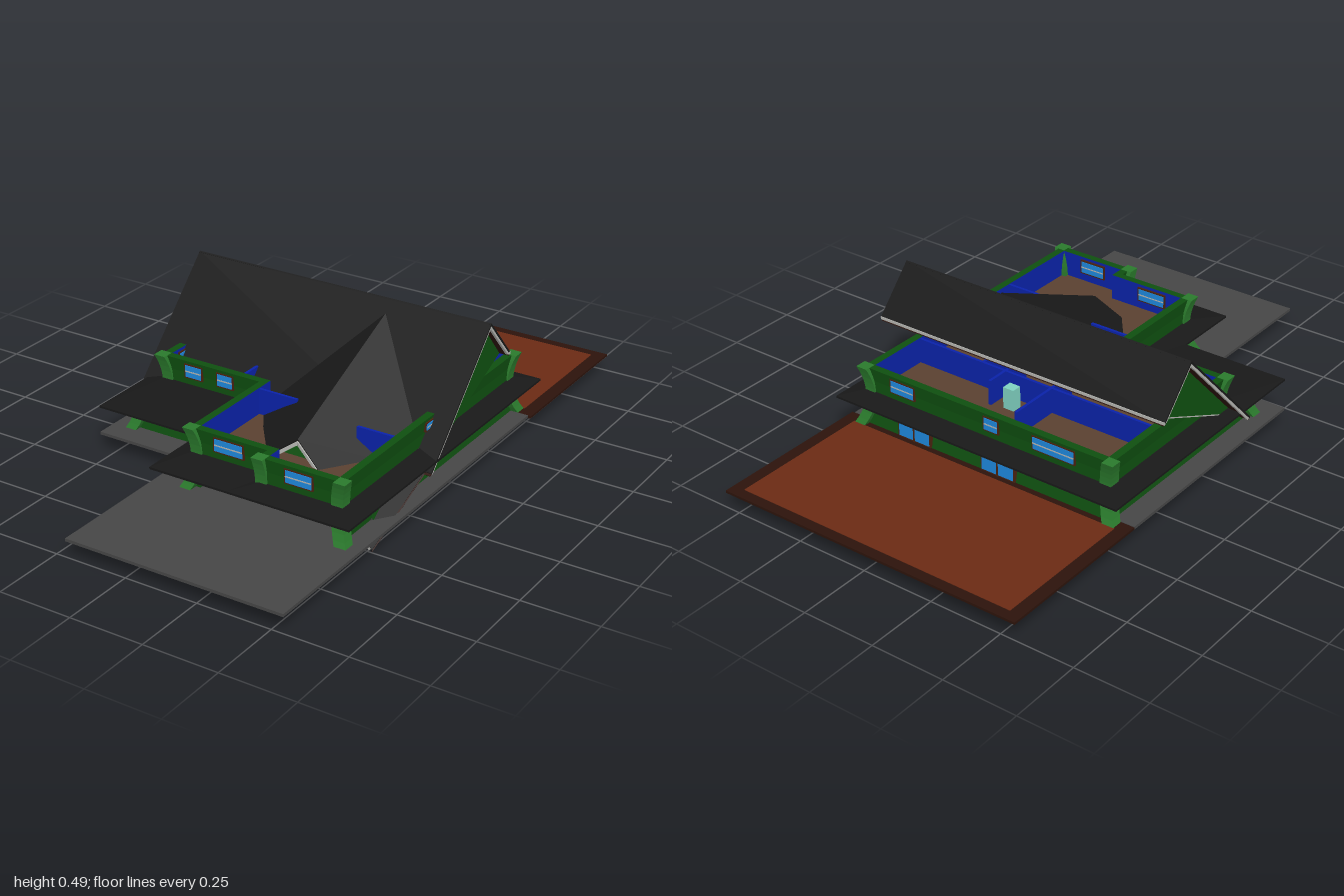
import * as THREE from 'three';

const COLORS = {
  green: 0x0f4f10, post: 0x2a7a2c, roof: 0x181818, blue: 0x0a22a8, floor: 0x5a4030, paving: 0x464646,
  brick: 0x6b2a14, darkBrick: 0x2c130b, frame: 0x4a2210, glass: 0x1e88dd, pale: 0xb4b4b0, teal: 0x7fd0c0, black: 0x15100c,
};
const mats = {};
for (const k in COLORS) {
  mats[k] = new THREE.MeshStandardMaterial({ color: COLORS[k], side: THREE.DoubleSide, flatShading: true });
}

function add(parent, name, geo, mat) {
  const m = new THREE.Mesh(geo, mats[mat]);
  m.name = name;
  parent.add(m);
  return m;
}

function box(parent, name, mat, x0, x1, y0, y1, z0, z1) {
  const m = add(parent, name, new THREE.BoxGeometry(x1 - x0, y1 - y0, z1 - z0), mat);
  m.position.set((x0 + x1) / 2, (y0 + y1) / 2, (z0 + z1) / 2);
  return m;
}

function soup(pos) {
  const g = new THREE.BufferGeometry();
  g.setAttribute('position', new THREE.Float32BufferAttribute(pos, 3));
  g.computeVertexNormals();
  return g;
}

// Joins closed rings of equal point count into a skin
function loft(rings) {
  const pos = [];
  for (let k = 0; k + 1 < rings.length; k++) {
    const a = rings[k], b = rings[k + 1], n = a.length;
    for (let i = 0; i < n; i++) {
      const j = (i + 1) % n;
      pos.push(...a[i], ...a[j], ...b[j], ...a[i], ...b[j], ...b[i]);
    }
  }
  return soup(pos);
}

// Flat convex panel given a thickness below its surface
function panel(pts, t) {
  const v = pts.map((p) => new THREE.Vector3(...p));
  const n = v[1].clone().sub(v[0]).cross(v[2].clone().sub(v[0])).normalize();
  const low = v.map((p) => p.clone().addScaledVector(n, -t).toArray());
  const pos = [];
  for (let i = 1; i + 1 < pts.length; i++) {
    pos.push(...pts[0], ...pts[i], ...pts[i + 1], ...low[0], ...low[i + 1], ...low[i]);
  }
  pts.forEach((p, i) => {
    const j = (i + 1) % pts.length;
    pos.push(...low[i], ...low[j], ...pts[j], ...low[i], ...pts[j], ...p);
  });
  return soup(pos);
}

// Square bar between two points
function bar(parent, name, mat, a, b, w) {
  const p = new THREE.Vector3(...a), q = new THREE.Vector3(...b);
  const m = add(parent, name, new THREE.BoxGeometry(w, w, p.distanceTo(q)), mat);
  m.position.copy(p).add(q).multiplyScalar(0.5);
  m.lookAt(q);
}

const L = -0.47, R = 0.47, B = -0.44, XS = -0.09, XM = 0.19;

// Stepped house plan grown by d, at height y
const plan = (d, y, zl = 0.17, zm = 0.54, zr = 0.59) => [
  [L - d, y, B - d], [L - d, y, zl + d], [XS - d, y, zl + d], [XS - d, y, zm + d],
  [XM - d, y, zm + d], [XM - d, y, zr + d], [R + d, y, zr + d], [R + d, y, B - d],
];

function plate(points, y, t) {
  const g = new THREE.ExtrudeGeometry(new THREE.Shape(points.map(([x, z]) => new THREE.Vector2(x, -z))),
    { depth: t, bevelEnabled: false });
  return g.rotateX(-Math.PI / 2).translate(0, y, 0);
}

// Corner post curving outwards at its top or its foot
function post(parent, x, z, sx, sz, y0, y1, flare, atTop) {
  const g = new THREE.BoxGeometry(0.04, y1 - y0, 0.04, 1, 5, 1);
  const p = g.attributes.position;
  for (let i = 0; i < p.count; i++) {
    const u = p.getY(i) / (y1 - y0) + 0.5, t = atTop ? u : 1 - u;
    p.setX(i, p.getX(i) + sx * flare * t * t);
    p.setZ(i, p.getZ(i) + sz * flare * t * t);
  }
  g.computeVertexNormals();
  add(parent, 'cornerPost', g, 'post').position.set(x - sx * 0.016, (y0 + y1) / 2, z - sz * 0.016);
}

function windowUnit(parent, name, x, y, z, w, h, turn = 0, split = 'h') {
  const g = new THREE.Group();
  g.name = name;
  box(g, 'frame', 'frame', -w / 2, w / 2, -h / 2, h / 2, -0.016, 0.016);
  box(g, 'glass', 'glass', -w / 2 + 0.005, w / 2 - 0.005, -h / 2 + 0.005, h / 2 - 0.005, -0.018, 0.018);
  if (split === 'h') box(g, 'glazingBar', 'pale', -w / 2 + 0.005, w / 2 - 0.005, -0.002, 0.002, -0.019, 0.019);
  else box(g, 'glazingBar', 'frame', -0.003, 0.003, -h / 2, h / 2, -0.019, 0.019);
  g.position.set(x, y, z);
  g.rotation.y = turn;
  parent.add(g);
}

export function createModel() {
  const house = new THREE.Group();
  house.name = 'house';
  const section = (name) => {
    const g = new THREE.Group();
    g.name = name;
    house.add(g);
    return g;
  };

  // Paving and brick terrace
  const ground = section('ground');
  add(ground, 'paving', plate([[-0.55, -0.43], [-0.55, 0.41], [-0.215, 0.41], [-0.215, 1], [0.54, 1], [0.54, -0.43]], 0.055, 0.01), 'paving');
  box(ground, 'terraceBorder', 'darkBrick', -0.55, 0.55, 0.055, 0.063, -1, -0.43);
  box(ground, 'terraceBricks', 'brick', -0.507, 0.507, 0.06, 0.0645, -0.965, -0.47);
  box(ground, 'groundFloor', 'floor', -0.46, 0.46, 0.053, 0.067, -0.43, 0.2);
  box(ground, 'darkFloor', 'black', -0.45, 0.12, 0.052, 0.06, -0.43, -0.1);
  box(ground, 'bathroomFloor', 'teal', -0.47, -0.28, 0.052, 0.068, 0.14, 0.3);

  // Lower storey with recessed garage door
  const lower = section('lowerStorey');
  add(lower, 'walls', loft([plan(0.008, 0.06, 0.31, 0.42, 0.42), plan(0, 0.1, 0.31, 0.42, 0.42), plan(0, 0.165, 0.31, 0.42, 0.42)]), 'green');
  box(lower, 'garageSideWall', 'green', R - 0.025, R, 0.06, 0.165, 0.4, 0.59);
  box(lower, 'garageSideWall', 'green', XS, XS + 0.025, 0.06, 0.165, 0.4, 0.54);
  box(lower, 'garageDoor', 'pale', -0.01, 0.39, 0.065, 0.157, 0.41, 0.435);
  box(lower, 'garageLintel', 'frame', -0.015, 0.395, 0.155, 0.16, 0.41, 0.438);
  box(lower, 'frontDoor', 'pale', -0.175, -0.092, 0.065, 0.15, 0.3, 0.325);
  box(lower, 'doorPane', 'glass', -0.147, -0.12, 0.1, 0.142, 0.3, 0.328);
  windowUnit(lower, 'bathroomWindow', -0.335, 0.138, 0.305, 0.08, 0.026);
  for (const x of [0.27, -0.06]) windowUnit(lower, 'terraceDoor', x, 0.103, B + 0.002, 0.13, 0.075, 0, 'v');
  [[L, B, -1, -1], [R, B, 1, -1], [L, 0.31, -1, 1], [XS, 0.54, -1, 1], [R, 0.59, 1, 1]]
    .forEach(([x, z, sx, sz]) => post(lower, x, z, sx, sz, 0.06, 0.165, 0.03, false));

  // Skirt roof between the storeys
  const skirt = section('skirtRoof');
  add(skirt, 'skirt', loft([plan(-0.02, 0.157), plan(0.07, 0.157, 0.35, 0.595, 0.595),
    plan(0.07, 0.164, 0.35, 0.595, 0.595), plan(0, 0.182)]), 'roof');

  // Open upper storey
  const upper = section('upperStorey');
  add(upper, 'outerWalls', loft([plan(0, 0.165), plan(0, 0.22), plan(0.006, 0.265), plan(-0.02, 0.265)]), 'green');
  add(upper, 'innerWalls', loft([plan(-0.02, 0.265), plan(-0.02, 0.17)]), 'blue');
  add(upper, 'floor', plate(plan(-0.015, 0).map((p) => [p[0], p[2]]), 0.168, 0.008), 'floor');
  [[L, B, -1, -1], [R, B, 1, -1], [L, 0.17, -1, 1], [XS, 0.54, -1, 1], [XM, 0.59, -0.2, 1], [R, 0.59, 1, 1]]
    .forEach(([x, z, sx, sz]) => post(upper, x, z, sx, sz, 0.172, 0.266, 0.018, true));
  [[-0.35, 0.16, 0.07], [-0.228, 0.16, 0.065], [0.045, 0.53, 0.11], [0.325, 0.58, 0.1],
    [-0.265, -0.43, 0.16], [-0.03, -0.43, 0.06], [0.32, -0.43, 0.1]]
    .forEach(([x, z, w]) => windowUnit(upper, 'window', x, 0.23, z, w, 0.05));
  windowUnit(upper, 'sideWindow', R - 0.008, 0.24, 0.025, 0.21, 0.03, Math.PI / 2);
  windowUnit(upper, 'sideWindow', L + 0.008, 0.23, 0.1, 0.04, 0.05, Math.PI / 2);
  // Partitions
  [[-0.08, -0.07, -0.38, -0.1], [-0.46, 0.46, -0.205, -0.195], [0.1, 0.11, -0.28, -0.1], [-0.175, -0.165, 0, 0.16],
    [-0.08, 0.07, 0.205, 0.215], [0.32, 0.46, 0.26, 0.27], [0.19, 0.2, -0.2, 0.21]]
    .forEach(([x0, x1, z0, z1]) => box(upper, 'partition', 'blue', x0, x1, 0.172, 0.262, z0, z1));
  box(upper, 'cupboard', 'teal', 0.02, 0.06, 0.174, 0.25, -0.27, -0.235);

  // Main roof, tilted forward across the house
  const main = section('mainRoof');
  const x0 = -0.55, x1 = 0.54, ridge = [0.495, -0.15], front = [0.135, 0.2], back = [0.347, -0.285];
  const quad = (a, b, xa = x0, xb = x1, dy = 0) =>
    [[xa, a[0] + dy, a[1]], [xa, b[0] + dy, b[1]], [xb, b[0] + dy, b[1]], [xb, a[0] + dy, a[1]]];
  add(main, 'frontSlope', panel(quad(ridge, front), 0.006), 'roof');
  add(main, 'backSlope', panel(quad(back, ridge), 0.006), 'roof');
  add(main, 'frontSoffit', panel(quad(ridge, front, x0 + 0.004, x1 - 0.004, -0.01), 0.004), 'darkBrick');
  add(main, 'backSoffit', panel(quad(back, ridge, x0 + 0.004, x1 - 0.004, -0.01), 0.004), 'darkBrick');
  add(main, 'atticBase', panel(quad([0.338, -0.265], [0.138, 0.18], -0.5, 0.5), 0.004), 'pale');
  for (const x of [-0.5, 0.5]) {
    add(main, 'gableWall', panel([[x, 0.482, -0.15], [x, 0.34, -0.272], [x, 0.135, 0.188]], 0.008), 'green');
  }
  for (const x of [x0 + 0.006, x1 - 0.006]) {
    bar(main, 'rakeTrim', 'pale', [x, 0.482, -0.15], [x, 0.13, 0.192], 0.009);
    bar(main, 'rakeTrim', 'pale', [x, 0.482, -0.15], [x, 0.345, -0.275], 0.009);
  }
  bar(main, 'backTrim', 'pale', [x0, 0.345, -0.281], [x1, 0.345, -0.281], 0.009);

  // Cross gable running down through the front of the house
  const cross = section('crossGable');
  const cx = 0.195, half = 0.322;
  for (const s of [-1, 1]) {
    const e = cx + s * half;
    const slope = (dy) => [[cx, 0.465 + dy, -0.1], [e, 0.135 + dy, 0.2], [e, 0.011 + dy, 0.5], [cx, 0.241 + dy, 0.4]];
    const wind = (p) => (s < 0 ? p : p.reverse());
    add(cross, 'slope', panel(wind(slope(0)), 0.005), 'roof');
    add(cross, 'soffit', panel(wind(slope(-0.009).map(([x, y, z]) => [x, Math.max(y, 0.005), z - 0.003])), 0.003), 'darkBrick');
    bar(cross, 'rakeTrim', 'pale', [cx, 0.229, 0.398], [e - s * 0.008, 0.009, 0.492], 0.011);
  }
  add(cross, 'gableWall', panel([[cx - 0.29, 0.025, 0.45], [cx + 0.29, 0.025, 0.45], [cx, 0.23, 0.365]], 0.006), 'green');
  add(cross, 'atticBase', panel([[-0.1, 0.13, 0.19], [-0.1, 0.02, 0.455], [0.49, 0.02, 0.455], [0.49, 0.13, 0.19]], 0.004), 'pale');

  return house;
}
